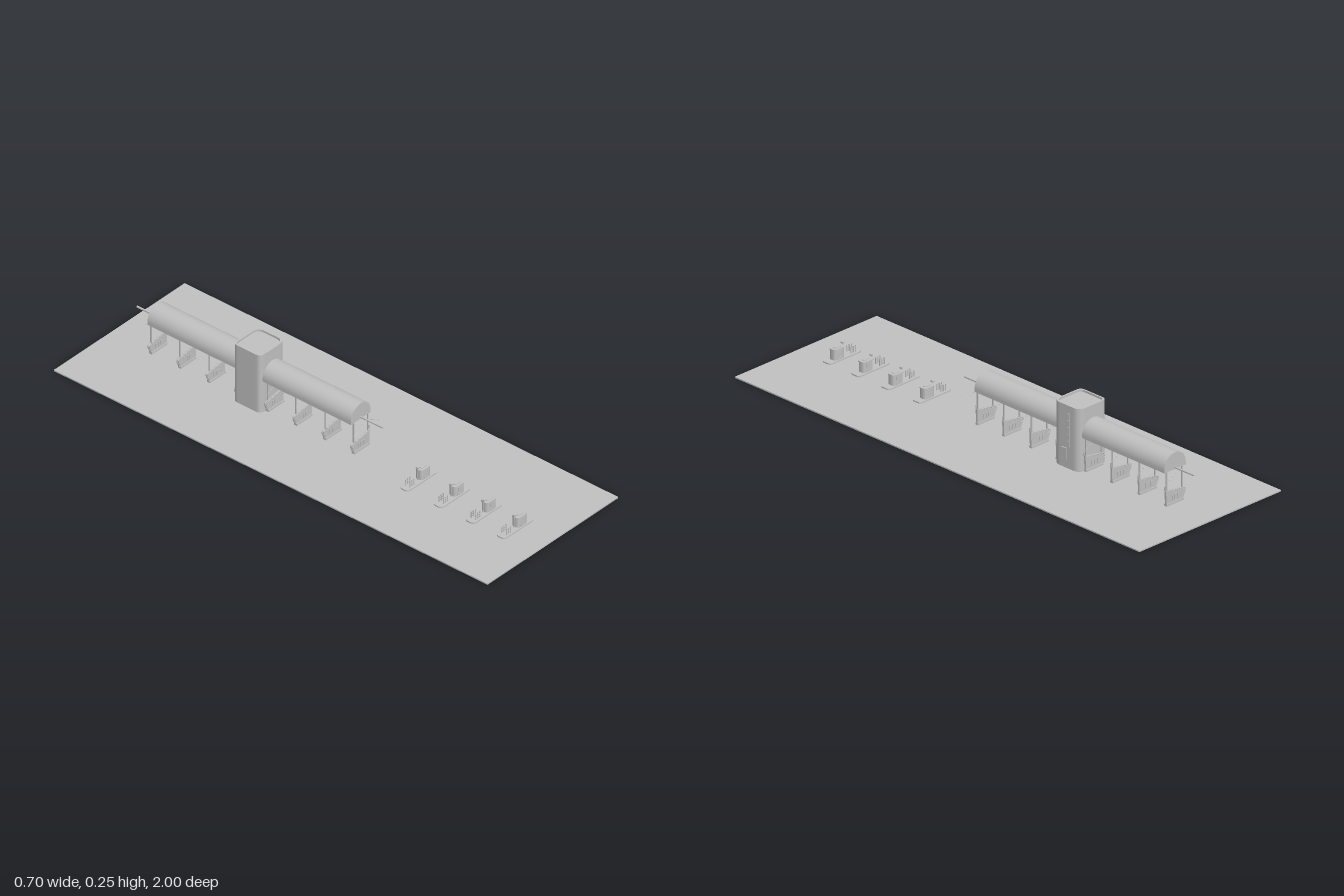
import * as THREE from 'three';

const grey = new THREE.MeshStandardMaterial({ color: 0xc0c0c0 });
grey.name = 'concrete grey';

function add(parent, name, geometry, x = 0, y = 0, z = 0) {
  const m = new THREE.Mesh(geometry, grey);
  m.name = name;
  m.position.set(x, y, z);
  parent.add(m);
  return m;
}
const box = (p, name, w, h, d, x, y, z) => add(p, name, new THREE.BoxGeometry(w, h, d), x, y, z);

// Straight thin bar between two points
function bar(parent, name, a, b, r) {
  const A = new THREE.Vector3(...a), B = new THREE.Vector3(...b);
  const m = add(parent, name, new THREE.CylinderGeometry(r, r, A.distanceTo(B), 6));
  m.position.copy(A).add(B).multiplyScalar(0.5);
  m.quaternion.setFromUnitVectors(new THREE.Vector3(0, 1, 0), B.sub(A).normalize());
  return m;
}

// Rounded footprint; rl and rr are the corner radii at -x and +x
function footprint(x0, x1, d, rl, rr, Type = THREE.Shape) {
  const s = new Type();
  s.moveTo(x0 + rl, -d);
  s.lineTo(x1 - rr, -d);
  s.quadraticCurveTo(x1, -d, x1, -d + rr);
  s.lineTo(x1, d - rr);
  s.quadraticCurveTo(x1, d, x1 - rr, d);
  s.lineTo(x0 + rl, d);
  s.quadraticCurveTo(x0, d, x0, d - rl);
  s.lineTo(x0, -d + rl);
  s.quadraticCurveTo(x0, -d, x0 + rl, -d);
  return s;
}
function extrude(shape, depth) {
  return new THREE.ExtrudeGeometry(shape, { depth, bevelEnabled: false, curveSegments: 8 });
}
const raise = (shape, h) => extrude(shape, h).rotateX(-Math.PI / 2);

function makeTower() {
  const g = new THREE.Group();
  g.name = 'tower';
  g.position.z = -0.342;
  add(g, 'towerBody', raise(footprint(-0.082, 0.053, 0.064, 0.022, 0.032), 0.235), 0, 0.005, 0);
  // Parapet around the sunken roof
  const rim = footprint(-0.082, 0.053, 0.064, 0.022, 0.032);
  rim.holes.push(footprint(-0.076, 0.047, 0.058, 0.02, 0.03, THREE.Path));
  add(g, 'parapet', raise(rim, 0.009), 0, 0.239, 0);
  // Window strip, door and low openings
  for (let i = 0; i < 5; i++) box(g, 'sideWindow', 0.003, 0.022, 0.012, 0.0535, 0.1 + i * 0.027, -0.012);
  box(g, 'sideDoor', 0.008, 0.045, 0.022, 0.053, 0.06, 0.01);
  for (const s of [-1, 1]) for (const x of [-0.03, 0.01]) box(g, 'lowWindow', 0.014, 0.016, 0.003, x, 0.035, s * 0.064);
  return g;
}

function makeRoof(z0, z1) {
  // Barrel vault on short upright sides
  const s = new THREE.Shape();
  s.moveTo(-0.069, 0.135);
  s.lineTo(0.037, 0.135);
  s.lineTo(0.037, 0.147);
  s.absarc(-0.016, 0.147, 0.053, 0, Math.PI, false);
  s.lineTo(-0.069, 0.135);
  const geo = new THREE.ExtrudeGeometry(s, { depth: z1 - z0, bevelEnabled: false, curveSegments: 24 });
  return [geo, z0];
}

function makeFrame(z) {
  const g = new THREE.Group();
  g.name = 'laneFrame';
  g.position.z = z;
  for (const x of [-0.052, 0.024]) box(g, 'post', 0.004, 0.13, 0.005, x, 0.07, 0);
  // Sloping side panel
  const s = new THREE.Shape();
  s.moveTo(-0.055, 0.012);
  s.lineTo(0.028, 0.012);
  s.lineTo(0.03, 0.062);
  s.lineTo(-0.067, 0.045);
  add(g, 'panel', extrude(s, 0.008), 0, 0, -0.004);
  for (let i = 0; i < 3; i++) box(g, 'panelSlot', 0.007, 0.018, 0.012, -0.03 + i * 0.014, 0.031, 0);
  // Rail that bends upward at its high end
  const path = new THREE.CatmullRomCurve3([
    [-0.055, 0.012], [-0.067, 0.046], [-0.02, 0.055], [0.024, 0.062], [0.032, 0.068], [0.031, 0.083],
  ].map(([x, y]) => new THREE.Vector3(x, y, 0)), false, 'catmullrom', 0.25);
  add(g, 'panelRail', new THREE.TubeGeometry(path, 30, 0.0028, 6));
  box(g, 'panelFoot', 0.084, 0.008, 0.014, -0.0135, 0.009, 0);
  return g;
}

function makeBooth(z) {
  const g = new THREE.Group();
  g.name = 'booth';
  g.position.z = z;
  add(g, 'island', raise(footprint(-0.11, 0.05, 0.021, 0.018, 0.012), 0.005), 0, 0.005, 0);
  add(g, 'cabin', raise(footprint(-0.03, 0.021, 0.016, 0.014, 0.014), 0.038), 0, 0.01, 0);
  add(g, 'cabinRoof', raise(footprint(-0.032, 0.023, 0.018, 0.015, 0.015), 0.004), 0, 0.048, 0);
  add(g, 'roofHatch', raise(footprint(-0.018, 0.01, 0.008, 0.006, 0.006), 0.002), 0, 0.052, 0);
  for (const s of [-1, 1]) {
    box(g, 'cabinWindow', 0.022, 0.014, 0.002, -0.004, 0.037, s * 0.016);
    box(g, 'cabinVent', 0.026, 0.005, 0.002, -0.004, 0.016, s * 0.016);
  }
  // Signal pole beside the cabin
  box(g, 'signalPole', 0.003, 0.05, 0.003, -0.034, 0.035, 0);
  box(g, 'signalHead', 0.009, 0.007, 0.01, -0.032, 0.06, 0);
  // Barrier of short posts and rails
  for (const x of [-0.086, -0.075, -0.064])
    for (const s of [-1, 1]) box(g, 'barrierPost', 0.003, 0.026, 0.003, x, 0.022, s * 0.01);
  for (const y of [0.018, 0.026])
    for (const s of [-1, 1]) box(g, 'barrierRail', 0.026, 0.002, 0.002, -0.075, y, s * 0.01);
  return g;
}

export function createModel() {
  const model = new THREE.Group();
  model.name = 'tollPlaza';
  box(model, 'ground', 0.7, 0.005, 2, 0, 0.0025, 0);
  model.add(makeTower());

  for (const [z0, z1] of [[-0.285, 0.128], [-0.81, -0.4]]) {
    const [geo, z] = makeRoof(z0, z1);
    add(model, 'vaultRoof', geo, 0, 0, z);
  }
  // Ridge beam sticking out at both ends
  box(model, 'beam', 0.006, 0.005, 1.135, -0.0155, 0.142, -0.3375);

  for (const z of [0.126, -0.005, -0.14, -0.27, -0.41, -0.54, -0.675, -0.808]) {
    model.add(makeFrame(z));
    // Stay wires spreading below the roof
    const wz = z > -0.342 ? z + 0.025 : z - 0.025;
    for (const s of [-1, 1]) bar(model, 'stayWire', [-0.0145, 0.142, wz], [-0.0145 + s * 0.067, 0.103, wz], 0.0009);
  }
  for (const z of [0.85, 0.708, 0.56, 0.405]) model.add(makeBooth(z));
  return model;
}
